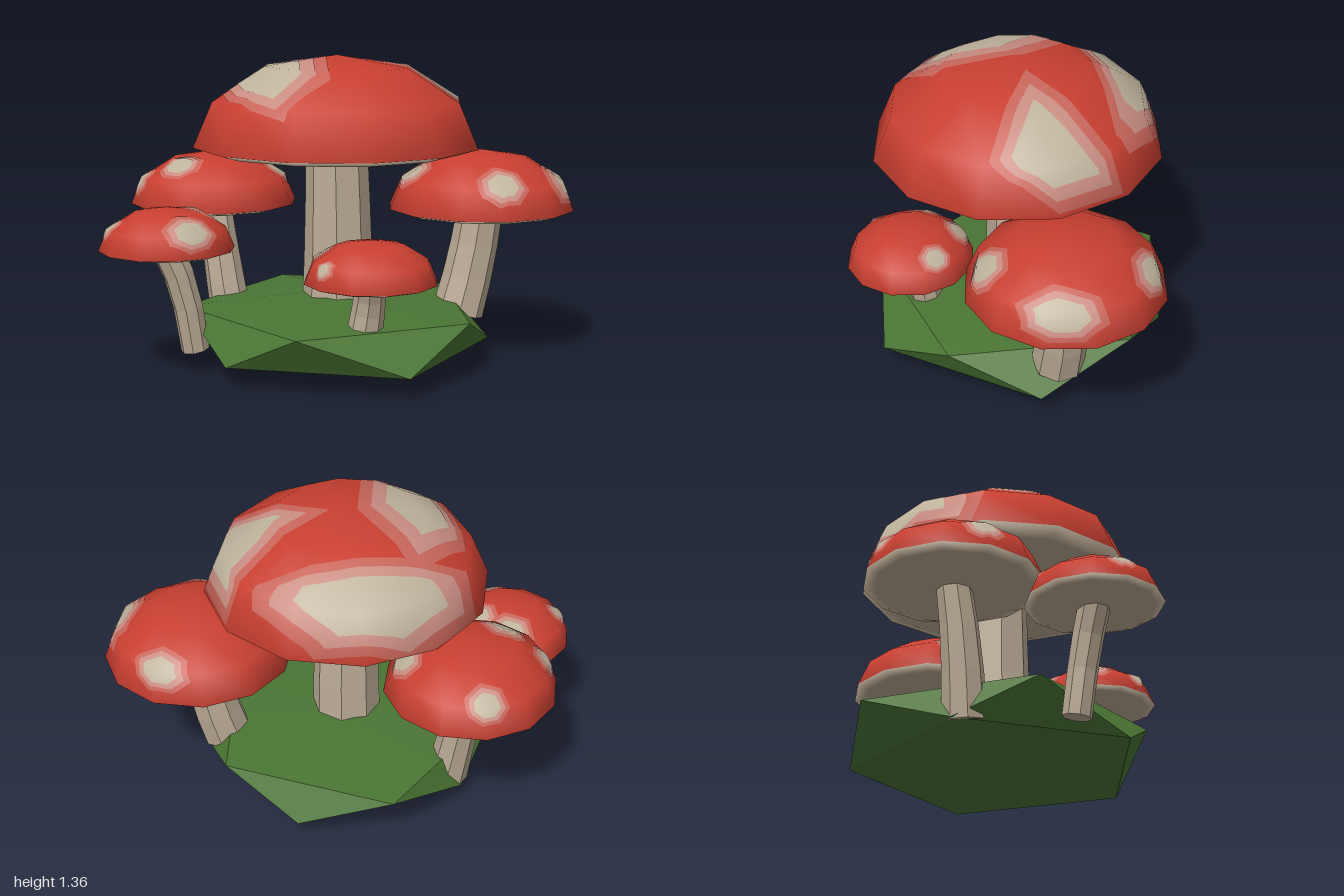
import * as THREE from 'three';
import { toCreasedNormals } from 'three/addons/utils/BufferGeometryUtils.js';
import { ConvexGeometry } from 'three/addons/geometries/ConvexGeometry.js';

const SIDES = 12, RINGS = 3, DOME = 0.62, GILL = 0.08;

function material(name, color) {
  const m = new THREE.MeshStandardMaterial({ color });
  m.name = name;
  return m;
}

const red = material('capRed', 0xc83f31);
const rose = material('spotRose', 0xc8665b);
const pink = material('spotPink', 0xc98d82);
const cream = material('spotCream', 0xbfb39c);
const beige = material('stemBeige', 0xbcac96);
const green = material('grassGreen', 0x4a7534);

function addMesh(parent, name, geometry, mat) {
  const mesh = new THREE.Mesh(geometry, mat);
  mesh.name = name;
  parent.add(mesh);
}

function addGroup(parent, name) {
  const group = new THREE.Group();
  group.name = name;
  parent.add(group);
  return group;
}

// Spots live on a flat paint map: angle around the cap, and ring 0 (apex) to 3 (rim)
function polar(deg, ring) {
  const a = THREE.MathUtils.degToRad(deg);
  return [Math.cos(a) * ring, Math.sin(a) * ring];
}

// Seven sided spot: centre angle and ring, half width around and down the cap
function roundSpot(deg, ring, across, down) {
  const [c, s] = polar(deg, 1);
  return Array.from({ length: 7 }, (_, i) => {
    const t = i / 7 * Math.PI * 2 + 0.3;
    const u = ring + Math.cos(t) * down, v = Math.sin(t) * across;
    return [c * u - s * v, s * u + c * v];
  });
}

// Irregular spot from its corners
const cornerSpot = (...corners) => corners.map(([deg, ring]) => polar(deg, ring));

function shrink(poly, k) {
  const c = [0, 1].map(i => poly.reduce((sum, p) => sum + p[i], 0) / poly.length);
  return poly.map(p => [c[0] + (p[0] - c[0]) * k, c[1] + (p[1] - c[1]) * k]);
}

// Clip one cap facet (points u, v, x, y, z) to a convex spot outline
function clip(points, outline) {
  outline.forEach((a, i) => {
    const b = outline[(i + 1) % outline.length];
    const side = p => (b[0] - a[0]) * (p[1] - a[1]) - (b[1] - a[1]) * (p[0] - a[0]);
    const out = [];
    points.forEach((p, j) => {
      const q = points[(j + 1) % points.length], sp = side(p), sq = side(q);
      if (sp >= 0) out.push(p);
      if (sp * sq < 0) out.push(p.map((n, k) => n + (q[k] - n) * sp / (sp - sq)));
    });
    points = out;
  });
  return points;
}

// Thin painted layer that follows the cap facets
function spotLayer(radius, outlines, lift) {
  const vertex = (ring, seg) => {
    const t = ring / RINGS * Math.PI / 2, r = Math.sin(t) * radius;
    const [c, s] = polar(seg / SIDES * 360, 1);
    return [c * ring, s * ring, c * r, Math.cos(t) * radius * DOME, s * r];
  };
  const positions = [], normals = [];
  const put = ([, , x, y, z]) => {
    const n = new THREE.Vector3(x, y / DOME ** 2, z).normalize();
    positions.push(x + n.x * lift, y + n.y * lift, z + n.z * lift);
    normals.push(n.x, n.y, n.z);
  };
  for (let i = 0; i < RINGS; i++) for (let j = 0; j < SIDES; j++) {
    const a = vertex(i, j), b = vertex(i + 1, j + 1), c = vertex(i + 1, j), d = vertex(i, j + 1);
    const facets = i === 0 ? [[a, b, c]] : [[a, b, c], [a, d, b]];
    for (const facet of facets) for (const outline of outlines) {
      const p = clip(facet, outline);
      for (let k = 1; k + 1 < p.length; k++) [p[0], p[k], p[k + 1]].forEach(put);
    }
  }
  const g = new THREE.BufferGeometry();
  g.setAttribute('position', new THREE.Float32BufferAttribute(positions, 3));
  g.setAttribute('normal', new THREE.Float32BufferAttribute(normals, 3));
  return g;
}

// Faceted stem that follows a bent path from foot to cap
function stemGeometry(path, rTop, rFoot) {
  const curve = new THREE.CatmullRomCurve3(path.map(p => new THREE.Vector3(...p)));
  const up = new THREE.Vector3(0, 1, 0), q = new THREE.Quaternion(), v = new THREE.Vector3();
  const g = new THREE.CylinderGeometry(rTop, rFoot, 1, 8, 3).toNonIndexed();
  const pos = g.attributes.position;
  for (let i = 0; i < pos.count; i++) {
    const t = THREE.MathUtils.clamp(pos.getY(i) + 0.5, 0, 1);
    q.setFromUnitVectors(up, curve.getTangent(t));
    v.set(pos.getX(i), 0, pos.getZ(i)).applyQuaternion(q).add(curve.getPoint(t));
    pos.setXYZ(i, v.x, v.y, v.z);
  }
  g.computeVertexNormals();
  return g;
}

// One mushroom: the stem runs foot, bend, rim centre
function addMushroom(model, name, { rim, radius, foot, bend, stemTop, stemFoot, spots }) {
  const group = addGroup(model, name);
  addMesh(group, 'stem', stemGeometry([foot, bend, rim], stemTop, stemFoot), beige);

  const cap = addGroup(group, 'cap');
  cap.position.set(...rim);
  const half = start =>
    new THREE.SphereGeometry(radius, SIDES, RINGS, 0, Math.PI * 2, start, Math.PI / 2);
  addMesh(cap, 'capTop', half(0).scale(1, DOME, 1), red);
  addMesh(cap, 'capUnderside', half(Math.PI / 2).scale(1, GILL, 1), beige);

  // Nested spot bands, from the outside in
  [[rose, 1], [pink, 0.8], [cream, 0.58]].forEach(([mat, k], i) => {
    const outlines = spots.map(s => shrink(s, k));
    addMesh(cap, mat.name, spotLayer(radius, outlines, 0.002 * (i + 1)), mat);
  });
}

export function createModel() {
  const model = new THREE.Group();
  model.name = 'mushroomCluster';

  // Faceted grassy mound: two staggered rings of five between a top and a bottom point
  const mound = [new THREE.Vector3(0, 0.33, 0.12), new THREE.Vector3(0, 0, 0.12)];
  for (let i = 0; i < 5; i++) {
    const [ux, uz] = polar(i * 72 + 2, 0.67), [lx, lz] = polar(i * 72 + 36, 0.66);
    mound.push(new THREE.Vector3(ux, 0.25, uz + 0.1), new THREE.Vector3(lx, 0.09, lz + 0.15));
  }
  addMesh(model, 'grassMound', toCreasedNormals(new ConvexGeometry(mound), 0.5), green);

  addMushroom(model, 'mainMushroom', {
    rim: [-0.01, 0.97, 0.12], radius: 0.63, stemTop: 0.135, stemFoot: 0.158,
    foot: [0, 0.25, 0.12], bend: [0, 0.6, 0.12],
    spots: [
      cornerSpot([173, 2], [196, 1.85], [226, 1.87], [267, 1.54], [248, 0.17], [137, 1.17], [156, 2.18]),
      cornerSpot([-115, 3], [-80, 3.1], [-40, 2.85], [-8, 2.3], [-6, 1.85], [-120, 2.05]),
      cornerSpot([18, 0.25], [2, 2.9], [30, 2.9], [50, 2.2], [58, 1.9], [54, 1]),
    ],
  });
  addMushroom(model, 'frontLeftMushroom', {
    rim: [0.575, 0.67, 0.44], radius: 0.42, stemTop: 0.102, stemFoot: 0.115,
    foot: [0.49, 0.19, 0.39], bend: [0.545, 0.42, 0.415],
    spots: [roundSpot(50, 2.05, 1.15, 0.75), roundSpot(122, 1.85, 0.65, 0.7),
      roundSpot(-30, 2, 0.8, 0.65), roundSpot(215, 1.7, 0.7, 0.6)],
  });
  addMushroom(model, 'backMushroom', {
    rim: [-0.22, 0.67, -0.485], radius: 0.38, stemTop: 0.075, stemFoot: 0.095,
    foot: [-0.2, 0.1, -0.38], bend: [-0.22, 0.4, -0.43],
    spots: [roundSpot(-61, 1.9, 0.6, 0.65), roundSpot(212, 2.1, 0.6, 0.6),
      roundSpot(172, 1.2, 0.65, 0.6), roundSpot(35, 1.7, 0.7, 0.6)],
  });
  addMushroom(model, 'rightMushroom', {
    rim: [-0.71, 0.555, -0.18], radius: 0.29, stemTop: 0.068, stemFoot: 0.062,
    foot: [-0.59, 0.1, -0.15], bend: [-0.645, 0.38, -0.155],
    spots: [roundSpot(100, 1.8, 1, 0.9), roundSpot(211, 1.9, 0.55, 0.6),
      roundSpot(-50, 1.4, 0.9, 0.9), roundSpot(10, 1.2, 0.75, 0.75)],
  });
  addMushroom(model, 'frontSmallMushroom', {
    rim: [-0.23, 0.465, 0.57], radius: 0.28, stemTop: 0.062, stemFoot: 0.075,
    foot: [-0.205, 0.24, 0.51], bend: [-0.205, 0.36, 0.535],
    spots: [roundSpot(185, 2.1, 0.5, 0.5), roundSpot(240, 1.7, 0.8, 0.7),
      roundSpot(300, 1.8, 0.8, 0.7), roundSpot(10, 1.6, 0.6, 0.6)],
  });
  return model;
}
